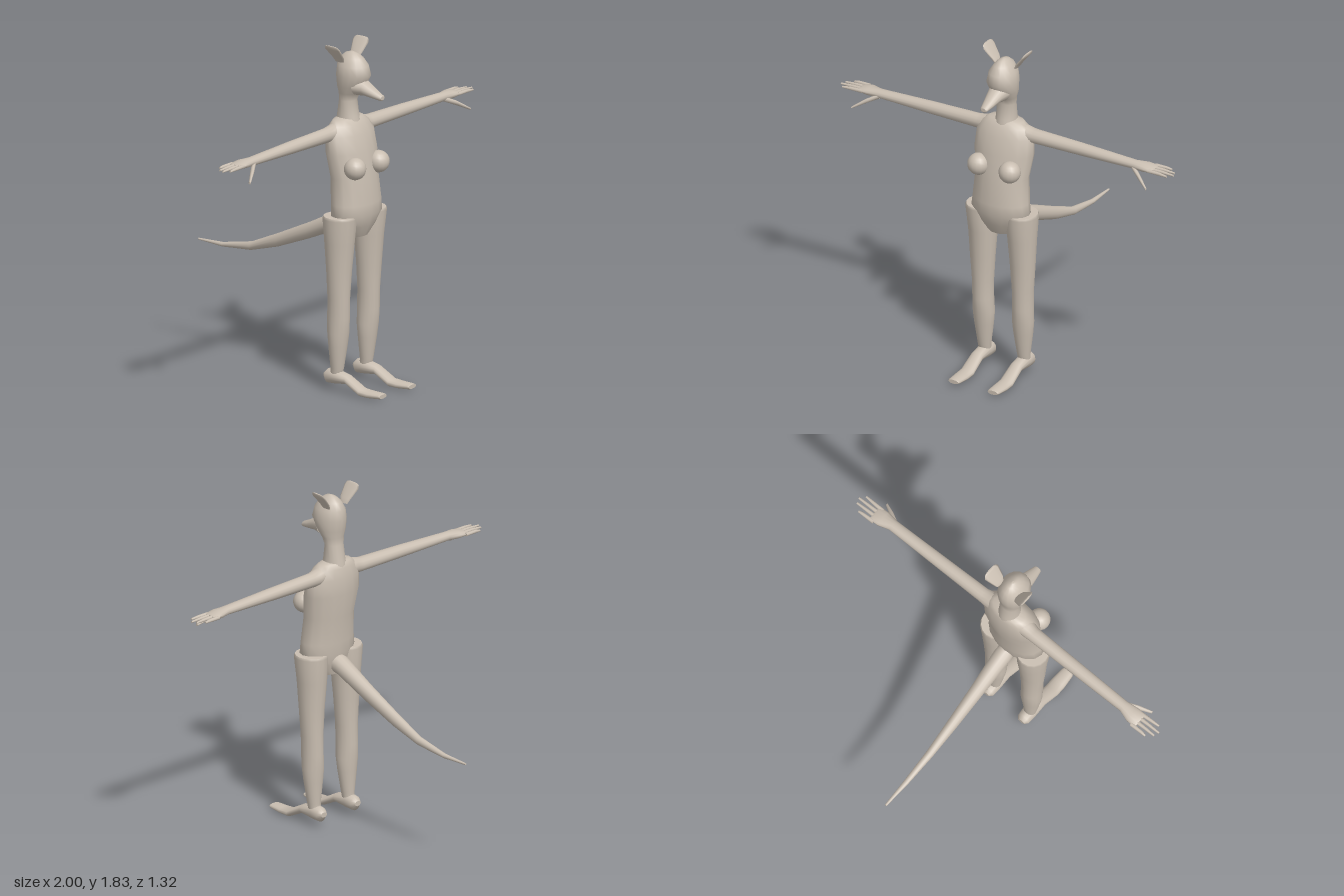
import * as THREE from 'three';

const AXES = { x: ['x', 'y', 'z'], y: ['y', 'z', 'x'], z: ['z', 'x', 'y'] };

// Closed elliptical loft along an axis. Sections: [x, y, z, rx, ry, rz] (radius along the axis is ignored).
function loft(axis, sections, sides = 14) {
  const [n, u, v] = AXES[axis];
  const id = { x: 0, y: 1, z: 2 };
  const rows = sections.slice();
  if (rows[0][id[n]] > rows[rows.length - 1][id[n]]) rows.reverse();
  const pos = [], idx = [];
  const ring = (s) => {
    for (let j = 0; j < sides; j++) {
      const a = (j / sides) * Math.PI * 2;
      const p = [s[0], s[1], s[2]];
      p[id[u]] += Math.cos(a) * s[3 + id[u]];
      p[id[v]] += Math.sin(a) * s[3 + id[v]];
      pos.push(...p);
    }
  };
  rows.forEach(ring);
  for (let i = 0; i < rows.length - 1; i++) {
    for (let j = 0; j < sides; j++) {
      const k = (j + 1) % sides;
      const a = i * sides + j, b = i * sides + k, c = a + sides, d = b + sides;
      idx.push(a, b, c, b, d, c);
    }
  }
  // Flat end caps with their own vertices
  [rows[0], rows[rows.length - 1]].forEach((s, end) => {
    const base = pos.length / 3;
    ring(s);
    for (let j = 1; j < sides - 1; j++) {
      if (end) idx.push(base, base + j, base + j + 1);
      else idx.push(base, base + j + 1, base + j);
    }
  });
  const g = new THREE.BufferGeometry();
  g.setAttribute('position', new THREE.Float32BufferAttribute(pos, 3));
  g.setIndex(idx);
  g.computeVertexNormals();
  return g;
}

// Upright section from a front and back depth: [y, half width, back z, front z, x]
const upright = (rows) => loft('y', rows.map(([y, w, back, front, x = 0]) =>
  [x, y, (back + front) / 2, w, 0, (front - back) / 2]), 16);

export function createModel() {
  const model = new THREE.Group();
  const clay = new THREE.MeshStandardMaterial({ color: 0xc9beb1 });
  clay.name = 'warm grey clay';
  const add = (name, geometry) => {
    const m = new THREE.Mesh(geometry, clay);
    m.name = name;
    model.add(m);
    return m;
  };

  // Torso
  add('torso', upright([
    [0.82, 0.075, 0.31, 0.44], [0.88, 0.125, 0.295, 0.47], [0.94, 0.168, 0.285, 0.488],
    [1.0, 0.16, 0.28, 0.49], [1.14, 0.15, 0.27, 0.475], [1.27, 0.17, 0.25, 0.455],
    [1.36, 0.165, 0.255, 0.43], [1.41, 0.135, 0.265, 0.405], [1.435, 0.1, 0.275, 0.385],
    [1.442, 0.05, 0.29, 0.37],
  ]));

  // Neck and head
  add('neckAndHead', upright([
    [1.4, 0.065, 0.265, 0.4], [1.45, 0.055, 0.272, 0.39], [1.53, 0.053, 0.288, 0.375],
    [1.57, 0.06, 0.288, 0.395], [1.61, 0.074, 0.278, 0.43], [1.67, 0.081, 0.27, 0.465],
    [1.72, 0.072, 0.275, 0.452], [1.76, 0.047, 0.292, 0.425], [1.782, 0.024, 0.32, 0.395],
    [1.79, 0.006, 0.35, 0.365],
  ]));

  // Muzzle tapering forward
  add('muzzle', loft('z', [
    [0, 1.615, 0.4, 0.06, 0.05, 0], [0, 1.608, 0.45, 0.045, 0.038, 0],
    [0, 1.588, 0.51, 0.032, 0.024, 0], [0, 1.575, 0.555, 0.021, 0.015, 0],
    [0, 1.575, 0.56, 0.015, 0.01, 0],
  ]));

  // Tail sweeping back and down
  add('tail', loft('z', [
    [0, 0.6, -0.66, 0.006, 0.005, 0], [0, 0.6, -0.5, 0.014, 0.012, 0],
    [0, 0.628, -0.31, 0.021, 0.023, 0], [0, 0.694, -0.13, 0.029, 0.037, 0],
    [0, 0.785, 0.08, 0.038, 0.045, 0], [0, 0.875, 0.27, 0.049, 0.052, 0],
    [0, 0.885, 0.33, 0.045, 0.05, 0],
  ]));

  for (const s of [1, -1]) {
    const side = s > 0 ? 'left' : 'right';

    // Breast
    const breast = add(side + 'Breast', new THREE.SphereGeometry(0.058, 16, 12));
    breast.position.set(s * 0.094, 1.2, 0.455);

    // Ear blade
    add(side + 'Ear', loft('y', [
      [s * 0.06, 1.74, 0.325, 0.008, 0, 0.028], [s * 0.073, 1.765, 0.325, 0.01, 0, 0.038],
      [s * 0.113, 1.815, 0.322, 0.01, 0, 0.052], [s * 0.121, 1.83, 0.322, 0.008, 0, 0.045],
      [s * 0.124, 1.836, 0.322, 0.004, 0, 0.033],
    ], 10));

    // Arm and palm
    add(side + 'Arm', loft('x', [
      [s * 0.08, 1.38, 0.33, 0, 0.05, 0.05], [s * 0.13, 1.376, 0.328, 0, 0.043, 0.045],
      [s * 0.17, 1.372, 0.325, 0, 0.038, 0.039], [s * 0.45, 1.37, 0.323, 0, 0.033, 0.035],
      [s * 0.77, 1.367, 0.321, 0, 0.023, 0.031], [s * 0.83, 1.367, 0.315, 0, 0.022, 0.045],
      [s * 0.875, 1.366, 0.313, 0, 0.013, 0.046], [s * 0.885, 1.366, 0.313, 0, 0.008, 0.042],
    ]));

    // Fingers
    [[0.272, 0.268, 0.955], [0.3, 0.298, 0.99], [0.325, 0.325, 1.0], [0.348, 0.354, 0.975]]
      .forEach(([z0, z1, tip], i) => add(side + 'Finger' + (i + 1), loft('x', [
        [s * 0.86, 1.366, z0, 0, 0.01, 0.012], [s * 0.93, 1.366, (z0 + z1) / 2, 0, 0.009, 0.009],
        [s * tip, 1.364, z1, 0, 0.005, 0.006],
      ], 8)));

    // Thumb
    add(side + 'Thumb', loft('x', [
      [s * 0.76, 1.36, 0.335, 0, 0.014, 0.014], [s * 0.82, 1.332, 0.372, 0, 0.013, 0.013],
      [s * 0.885, 1.293, 0.409, 0, 0.006, 0.007],
    ], 8));

    // Leg from hip to ankle
    add(side + 'Leg', upright([
      [0.1, 0.033, 0.32, 0.385, s * 0.118], [0.13, 0.036, 0.322, 0.392, s * 0.118],
      [0.25, 0.053, 0.314, 0.41, s * 0.118], [0.32, 0.059, 0.308, 0.42, s * 0.118],
      [0.4, 0.055, 0.305, 0.428, s * 0.12], [0.5, 0.057, 0.309, 0.428, s * 0.12],
      [0.65, 0.068, 0.305, 0.437, s * 0.12], [0.8, 0.077, 0.292, 0.452, s * 0.118],
      [0.93, 0.086, 0.283, 0.468, s * 0.12], [0.942, 0.081, 0.288, 0.463, s * 0.12],
    ]));

    // Long bent foot
    const x = s * 0.118;
    add(side + 'Foot', loft('z', [
      [x, 0.082, 0.28, 0.02, 0.014, 0], [x, 0.078, 0.3, 0.035, 0.038, 0],
      [x, 0.083, 0.345, 0.039, 0.04, 0], [x, 0.078, 0.43, 0.036, 0.024, 0],
      [x, 0.029, 0.525, 0.04, 0.021, 0], [x, 0.027, 0.58, 0.04, 0.019, 0],
      [x, 0.03, 0.65, 0.034, 0.015, 0], [x, 0.03, 0.66, 0.03, 0.011, 0],
    ]));
  }
  return model;
}
